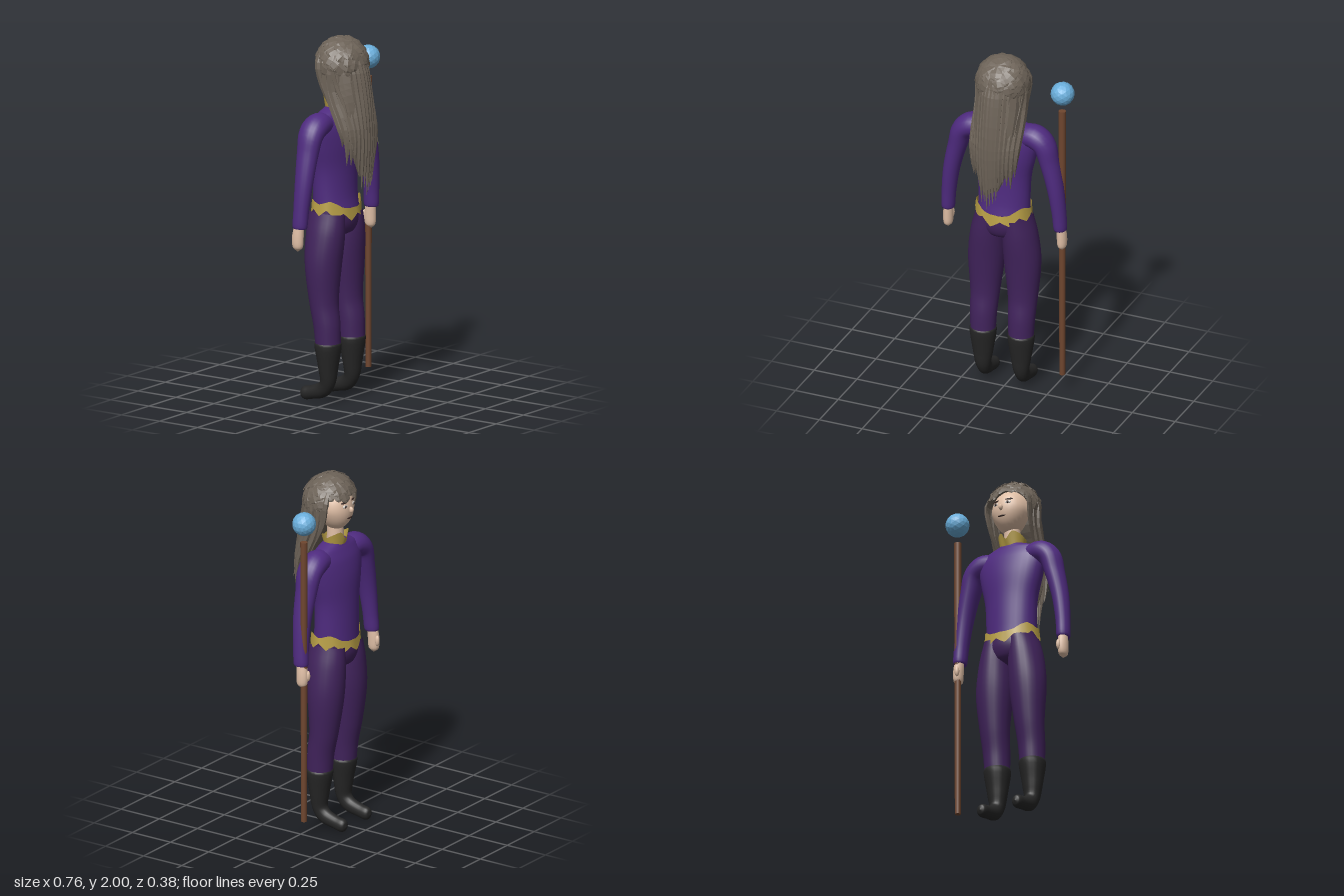
import * as THREE from 'three';

const MID = -0.018; // the figure stands slightly off centre, staff on its other side
const V = (x, y, z) => new THREE.Vector3(x, y, z);
const mat = (name, color, extra = {}) => {
  const m = new THREE.MeshStandardMaterial({ color, ...extra });
  m.name = name;
  return m;
};

function seeded(seed) {
  return () => (seed = (seed * 16807) % 2147483647) / 2147483647;
}

// Smooth tube of elliptical sections. Each row is [x, y, z, a, b];
// b is the radius along ref, a the one across it.
function loft(rows, ref, sides = 20, steps = 5) {
  const path = new THREE.CatmullRomCurve3(rows.map(r => V(r[0], r[1], r[2])));
  const radii = new THREE.CatmullRomCurve3(rows.map(r => V(r[3], r[4], 0)), false, 'catmullrom', 0.5);
  const n = (rows.length - 1) * steps, pos = [], idx = [];
  for (let i = 0; i <= n; i++) {
    const c = path.getPoint(i / n), r = radii.getPoint(i / n), T = path.getTangent(i / n);
    const A = T.clone().cross(ref).normalize(), B = A.clone().cross(T);
    for (let j = 0; j < sides; j++) {
      const t = (j / sides) * Math.PI * 2;
      const p = c.clone().addScaledVector(A, Math.max(r.x, 0.0005) * Math.cos(t))
        .addScaledVector(B, Math.max(r.y, 0.0005) * Math.sin(t));
      pos.push(p.x, p.y, p.z);
      if (i < n) {
        const k = (j + 1) % sides, a = i * sides, b = a + sides;
        idx.push(a + j, b + j, b + k, a + j, b + k, a + k);
      }
    }
  }
  const g = new THREE.BufferGeometry();
  g.setAttribute('position', new THREE.Float32BufferAttribute(pos, 3));
  g.setIndex(idx);
  g.computeVertexNormals();
  return g;
}

// Open band round the body; low and high give [height, rx, rz] for each angle.
function band(cx, cz, low, high, n = 48) {
  const pos = [], idx = [];
  for (let i = 0; i <= n; i++) {
    const t = (i / n) * Math.PI * 2;
    for (const [y, rx, rz] of [low(t), high(t)]) pos.push(cx + rx * Math.cos(t), y, cz + rz * Math.sin(t));
    if (i < n) idx.push(2 * i, 2 * i + 1, 2 * i + 3, 2 * i, 2 * i + 3, 2 * i + 2);
  }
  const g = new THREE.BufferGeometry();
  g.setAttribute('position', new THREE.Float32BufferAttribute(pos, 3));
  g.setIndex(idx);
  g.computeVertexNormals();
  return g;
}

export function createModel() {
  const root = new THREE.Group();
  root.name = 'staffBearer';
  const M = {
    shirt: mat('shirt purple', 0x4f2b80),
    pants: mat('trouser purple', 0x41235c),
    gold: mat('gold', 0xb89f46, { side: THREE.DoubleSide }),
    skin: mat('skin', 0xe0bfa6),
    boot: mat('boot black', 0x262626),
    hair: mat('hair grey brown', 0x6d6358, { flatShading: true, side: THREE.DoubleSide }),
    wood: mat('staff wood', 0x6f462f),
    orb: mat('orb blue', 0x6aaedb, { flatShading: true }),
    dark: mat('feature brown', 0x3a2a26),
    white: mat('eye white', 0xeeeae4),
  };
  const add = (name, geo, m, parent = root) => {
    const mesh = new THREE.Mesh(geo, m);
    mesh.name = name;
    parent.add(mesh);
    return mesh;
  };
  const X = V(1, 0, 0), Z = V(0, 0, 1);

  // Torso and pelvis
  add('torso', loft([
    [MID, 1.03, -0.04, 0.147, 0.112], [MID, 1.12, -0.046, 0.146, 0.104], [MID, 1.28, -0.047, 0.154, 0.1],
    [MID, 1.42, -0.043, 0.186, 0.1], [MID, 1.52, -0.038, 0.2, 0.088], [MID, 1.585, -0.035, 0.165, 0.066],
    [MID, 1.615, -0.035, 0.085, 0.052], [MID, 1.63, -0.035, 0.04, 0.03]], Z, 32), M.shirt);
  add('pelvis', loft([
    [MID, 0.9, -0.045, 0.02, 0.03], [MID, 0.93, -0.045, 0.11, 0.09],
    [MID, 0.99, -0.042, 0.152, 0.113], [MID, 1.07, -0.04, 0.147, 0.11]], Z, 32), M.pants);

  // Belt with jagged edges
  const zig = (t, k) => Math.abs(((t * k / Math.PI) % 2 + 2) % 2 - 1);
  add('belt', band(MID, -0.04,
    t => [1.035 - 0.035 * Math.abs(Math.sin(t)) ** 3 + 0.035 * zig(t, 9), 0.16, 0.122],
    t => [1.098 - 0.045 * Math.abs(Math.sin(t)) ** 6 + 0.02 * zig(t + 0.5, 6), 0.155, 0.116], 72), M.gold);

  // Limbs, mirrored about the body's middle
  for (const s of [-1, 1]) {
    const side = s > 0 ? 'left' : 'right', x = d => MID + s * d;
    add(side + 'Leg', loft([
      [x(0.078), 1.04, -0.042, 0.108, 0.074], [x(0.092), 0.92, -0.045, 0.11, 0.094],
      [x(0.105), 0.76, -0.05, 0.1, 0.101], [x(0.11), 0.55, -0.041, 0.078, 0.082],
      [x(0.111), 0.43, -0.022, 0.073, 0.074], [x(0.111), 0.33, -0.015, 0.069, 0.069]], X, 24), M.pants);
    add(side + 'Boot', loft([
      [x(0.111), 0.335, -0.015, 0.002, 0.002], [x(0.111), 0.334, -0.015, 0.071, 0.072],
      [x(0.111), 0.2, -0.013, 0.053, 0.058], [x(0.111), 0.115, -0.017, 0.042, 0.043],
      [x(0.111), 0.073, -0.047, 0.043, 0.036], [x(0.111), 0.048, -0.12, 0.037, 0.032],
      [x(0.111), 0.039, -0.163, 0.037, 0.031], [x(0.111), 0.036, -0.182, 0.026, 0.022],
      [x(0.111), 0.035, -0.19, 0.001, 0.001]], X, 20), M.boot);
    add(side + 'Sleeve', loft([
      [x(0.1), 1.53, -0.036, 0.06, 0.06], [x(0.18), 1.537, -0.036, 0.066, 0.072],
      [x(0.235), 1.5, -0.036, 0.06, 0.072], [x(0.268), 1.4, -0.036, 0.052, 0.062],
      [x(0.303), 1.25, -0.035, 0.045, 0.052], [x(0.322), 1.1, -0.04, 0.039, 0.044],
      [x(0.328), 1.0, -0.045, 0.034, 0.04], [x(0.328), 0.998, -0.045, 0.01, 0.01]], Z, 20), M.shirt);
    add(side + 'Hand', loft([
      [x(0.328), 1.02, -0.048, 0.024, 0.028], [x(0.332), 0.95, -0.055, 0.027, 0.034],
      [x(0.333), 0.895, -0.055, 0.023, 0.029], [x(0.333), 0.872, -0.055, 0.001, 0.001]], Z, 14), M.skin);
    const thumb = add(side + 'Thumb', new THREE.SphereGeometry(1, 10, 8), M.skin);
    thumb.scale.set(0.013, 0.03, 0.013);
    thumb.position.set(x(0.322), 0.945, -0.086);
  }

  // Neck, collar and head
  add('neck', new THREE.CylinderGeometry(0.043, 0.048, 0.16, 20).translate(MID, 1.66, -0.038), M.skin);
  const front = t => Math.max(0, -Math.sin(t));
  add('collar', band(MID, -0.037, () => [1.605, 0.068, 0.056],
    t => [1.648 + 0.04 * front(t) - 0.05 * front(t) ** 24, 0.078, 0.07], 40), M.gold);
  const head = new THREE.Group();
  head.name = 'head';
  root.add(head);
  const hc = V(-0.012, 1.81, -0.043), hr = V(0.104, 0.125, 0.1);
  const skull = new THREE.SphereGeometry(1, 28, 20), sp = skull.attributes.position;
  for (let i = 0; i < sp.count; i++) { // narrow the jaw
    const k = 1 - 0.22 * Math.max(0, -sp.getY(i));
    sp.setX(i, sp.getX(i) * k);
  }
  skull.scale(hr.x, hr.y, hr.z).translate(hc.x, hc.y, hc.z);
  skull.computeVertexNormals();
  add('face', skull, M.skin, head);
  const onFace = (name, dx, y, w, h, m, lift = 0, depth = 0.005) => {
    const f = add(name, new THREE.SphereGeometry(1, 12, 8), m, head);
    const q = 1 - (dx / hr.x) ** 2 - ((y - hc.y) / hr.y) ** 2;
    f.position.set(hc.x + dx, y, hc.z - hr.z * Math.sqrt(q) - lift);
    f.scale.set(w, h, depth);
    f.rotation.y = dx * -6;
  };
  for (const s of [-1, 1]) {
    onFace('eye', s * 0.038, 1.838, 0.017, 0.009, M.white);
    onFace('pupil', s * 0.038, 1.838, 0.007, 0.008, M.dark, 0.003);
    onFace('eyebrow', s * 0.04, 1.858, 0.022, 0.005, M.dark);
  }
  onFace('nose', 0, 1.812, 0.011, 0.018, M.skin, 0, 0.017);
  onFace('mouth', 0, 1.765, 0.024, 0.005, M.dark);

  // Hair: cap, overlapping tufts, inner mass and long hanging locks
  const hair = new THREE.Group();
  hair.name = 'hair';
  root.add(hair);
  const rnd = seeded(77), tilt = 0.5, cc = V(-0.01, 1.852, -0.008), cr = V(0.137, 0.135, 0.132);
  const onCap = (th, ph, lift) => V(Math.sin(th) * Math.cos(ph), Math.cos(th), Math.sin(th) * Math.sin(ph))
    .applyAxisAngle(X, tilt).multiply(cr.clone().addScalar(lift)).add(cc);
  add('hairCap', new THREE.SphereGeometry(1, 24, 12, 0, Math.PI * 2, 0, 1.62)
    .rotateX(tilt).scale(cr.x, cr.y, cr.z).translate(cc.x, cc.y, cc.z), M.hair, hair);
  [[0.02, 6], [0.3, 11], [0.6, 16], [0.9, 20], [1.2, 22]].forEach(([th, n], row) => {
    for (let i = 0; i < n; i++) {
      const ph = ((i + 0.5 * (row % 2) + 0.5 * rnd()) / n) * Math.PI * 2;
      const a = th + 0.12 * rnd(), len = 0.45 + 0.2 * rnd(), sway = 0.3 * (rnd() - 0.5);
      const w = 0.024 + 0.012 * rnd();
      const rows = [[0, 0.003, 0.7], [0.5, 0.007, 1], [0.85, 0.011, 0.8], [1, 0.012, 0.3]].map(([k, lift, f]) => {
        const p = onCap(a + len * k, ph + sway * k, lift);
        return [p.x, p.y, p.z, 0.005, w * f];
      });
      const ref = V(-Math.sin(ph), 0, Math.cos(ph)).applyAxisAngle(X, tilt);
      add('hairTuft', loft(rows, ref, 4, 1), M.hair, hair);
    }
  });
  add('hairMass', loft([
    [-0.01, 1.88, 0.03, 0.12, 0.08], [-0.01, 1.76, 0.055, 0.128, 0.085], [-0.01, 1.66, 0.09, 0.125, 0.065],
    [-0.01, 1.52, 0.12, 0.11, 0.045], [-0.01, 1.38, 0.125, 0.085, 0.03], [-0.01, 1.25, 0.125, 0.03, 0.01]],
    Z, 16, 3), M.hair, hair);
  for (const [n, inset, lift] of [[15, 0, 0], [12, 0.035, 0.08]]) {
    for (let i = 0; i < n; i++) {
      const u = (i / (n - 1)) * 2 - 1, q = u * u, x = 0.132 * u * (1 - inset * 2);
      const tip = 1.11 + 0.16 * Math.abs(u) + lift + 0.12 * rnd(), w = 0.016 + 0.006 * rnd();
      add('longLock', loft([
        [-0.01 + x * 0.5, 1.955, 0.05 - 0.04 * q, 0.008, w],
        [-0.01 + x, 1.86, 0.122 - 0.11 * q - inset, 0.013, w * 1.1],
        [-0.01 + x * 1.03, 1.72, 0.155 - 0.13 * q - inset, 0.014, w * 1.1],
        [-0.01 + x, 1.52, 0.176 - 0.07 * q - inset, 0.014, w],
        [-0.01 + x * 0.95, (1.52 + tip) / 2, 0.176 - 0.06 * q - inset, 0.011, w * 0.75],
        [-0.01 + x * 0.9, tip, 0.168 - 0.06 * q - inset, 0.001, 0.001]],
        V(1 - 0.6 * q, 0, -0.8 * u), 6, 3), M.hair, hair);
    }
  }
  // Side locks framing the face and sweeping back
  for (const s of [-1, 1]) for (let i = 0; i < 4; i++) {
    const z = -0.07 + 0.03 * i;
    add('sideLock', loft([
      [-0.01 + s * 0.08, 1.95, z + 0.01, 0.006, 0.016], [-0.01 + s * 0.132, 1.87, z, 0.01, 0.02],
      [-0.01 + s * 0.128, 1.76, z + 0.02, 0.01, 0.02], [-0.01 + s * 0.12, 1.65, z + 0.07, 0.008, 0.014],
      [-0.01 + s * 0.115, 1.52 - 0.04 * i, z + 0.13, 0.001, 0.001]], Z, 6, 3), M.hair, hair);
  }

  // Staff and floating orb
  add('staff', new THREE.CylinderGeometry(0.02, 0.016, 1.6, 12).translate(0.312, 0.91, -0.065), M.wood);
  add('orb', new THREE.IcosahedronGeometry(0.065, 2).translate(0.313, 1.815, -0.067), M.orb);
  return root;
}
